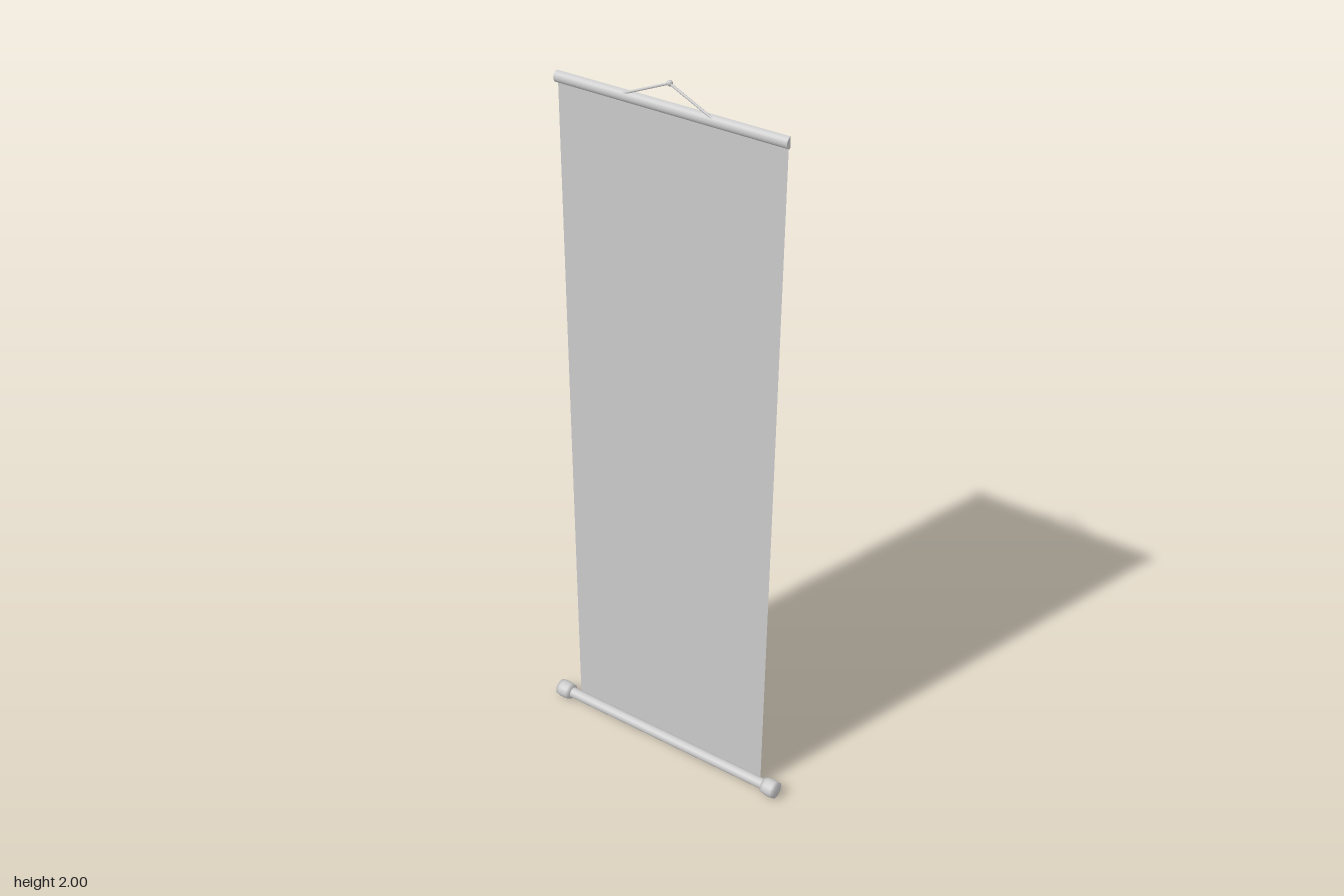
import * as THREE from 'three';

const material = new THREE.MeshStandardMaterial({ color: 0xcccccc });
const thin = new THREE.MeshStandardMaterial({ color: 0xcccccc, side: THREE.DoubleSide });

function part(name, geometry, x, y, z, mat = material) {
  const mesh = new THREE.Mesh(geometry, mat);
  mesh.name = name;
  mesh.position.set(x, y, z);
  return mesh;
}

export function createModel() {
  const group = new THREE.Group();
  group.name = 'hangingScroll';
  const backZ = -0.0155;
  const rodY = 0.025;

  // Hanging sheet, from the middle of the lower rod to the top of the upper batten
  const top = 1.949, bottom = 0.022;
  group.add(part('sheet', new THREE.PlaneGeometry(0.61, top - bottom), 0, (top + bottom) / 2, backZ, thin));

  // Upper batten: half-round bar with its flat side against the sheet
  const section = new THREE.Shape();
  section.absarc(0, 0, 0.0145, 0, Math.PI, false);
  section.closePath();
  const batten = new THREE.ExtrudeGeometry(section, { depth: 0.616, bevelEnabled: false, curveSegments: 8 });
  batten.translate(0, 0, -0.308);
  batten.rotateZ(-Math.PI / 2); // round side to +x
  batten.rotateY(-Math.PI / 2); // then to the front
  group.add(part('topBatten', batten, 0, 1.935, backZ - 0.001));

  // Lower roller
  const roller = new THREE.CylinderGeometry(0.015, 0.015, 0.66, 16);
  roller.rotateZ(Math.PI / 2);
  group.add(part('roller', roller, 0, rodY, 0));

  // Slightly bulging knobs on the roller ends
  const profile = [[0, 0], [0.021, 0], [0.0235, 0.01], [0.025, 0.022], [0.0245, 0.034], [0.0225, 0.044], [0, 0.044]]
    .map(([r, h]) => new THREE.Vector2(r, h));
  for (const side of [-1, 1]) {
    const knob = new THREE.LatheGeometry(profile, 16);
    knob.rotateZ(-side * Math.PI / 2);
    group.add(part(side > 0 ? 'leftKnob' : 'rightKnob', knob, side * 0.324, rodY, 0));

    // Cord from the batten up to the peg
    const cord = new THREE.TubeGeometry(new THREE.LineCurve3(
      new THREE.Vector3(side * 0.118, 1.943, -0.008),
      new THREE.Vector3(0, 1.993, -0.016)), 1, 0.003, 8);
    group.add(part(side > 0 ? 'leftCord' : 'rightCord', cord, 0, 0, 0));
  }

  // Peg where the cords meet
  group.add(part('peg', new THREE.SphereGeometry(0.007, 12, 8), 0, 1.993, -0.017));

  return group;
}
